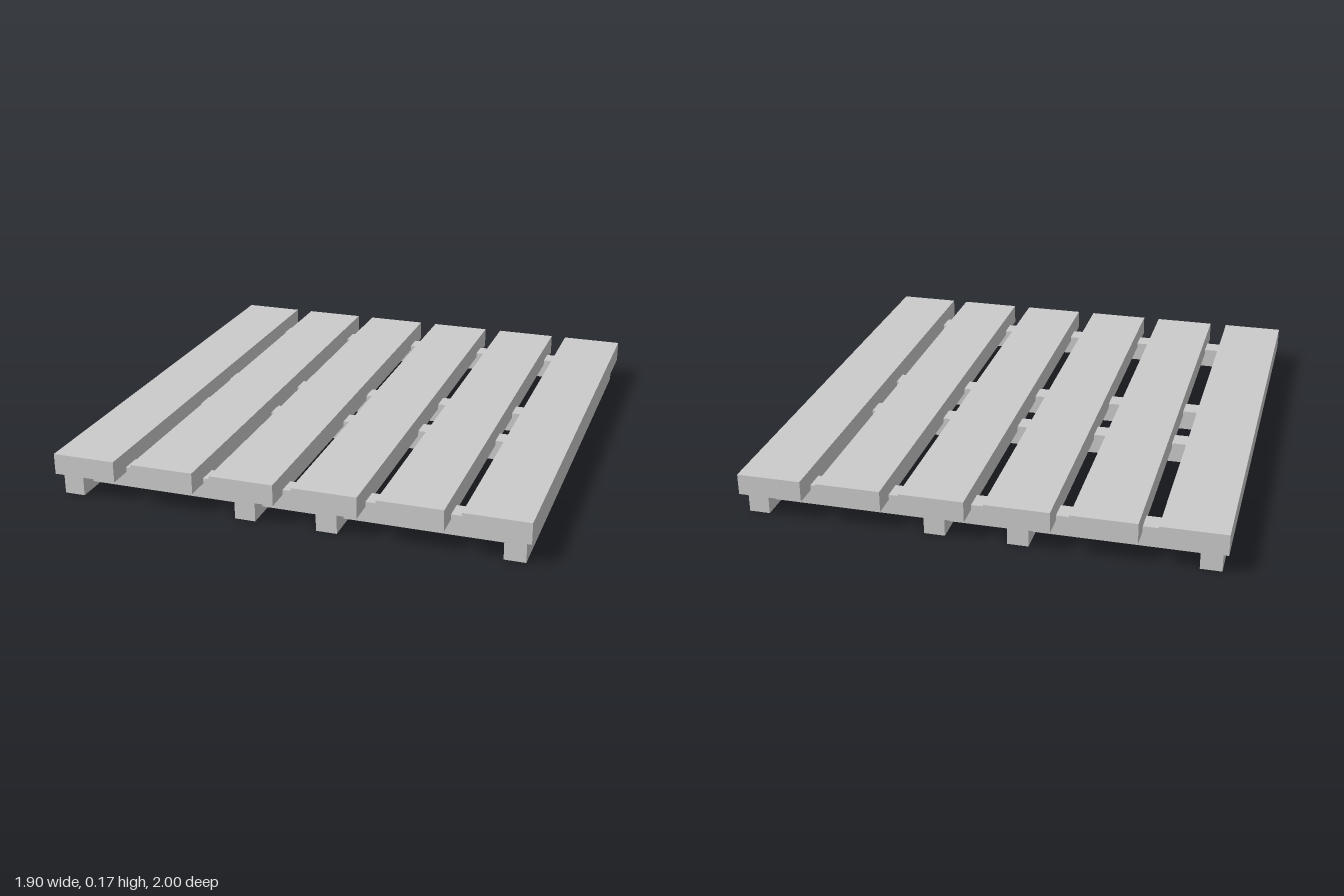
import * as THREE from 'three';

export function createModel() {
  const group = new THREE.Group();
  const material = new THREE.MeshStandardMaterial({ color: 0xcccccc, flatShading: true });

  const addBeam = (name, width, height, depth, x, bottom, z) => {
    const mesh = new THREE.Mesh(new THREE.BoxGeometry(width, height, depth), material);
    mesh.name = name;
    mesh.position.set(x, bottom + height / 2, z);
    group.add(mesh);
  };

  // Six wide boards forming the deck
  [-0.823, -0.492, -0.163, 0.168, 0.498, 0.82].forEach((x, i) =>
    addBeam(`deckBoard${i + 1}`, 0.257, 0.085, 2, x, 0.09, 0));

  // Four runners under the deck, resting on the ground
  [-0.887, -0.16, 0.168, 0.885].forEach((x, i) =>
    addBeam(`runner${i + 1}`, 0.083, 0.09, 1.94, x, 0, 0.004));

  // Four crossbars let into the runners and the boards
  [-0.862, -0.165, 0.15, 0.858].forEach((z, i) =>
    addBeam(`crossbar${i + 1}`, 1.74, 0.083, 0.081, 0, 0.028, z));

  return group;
}
